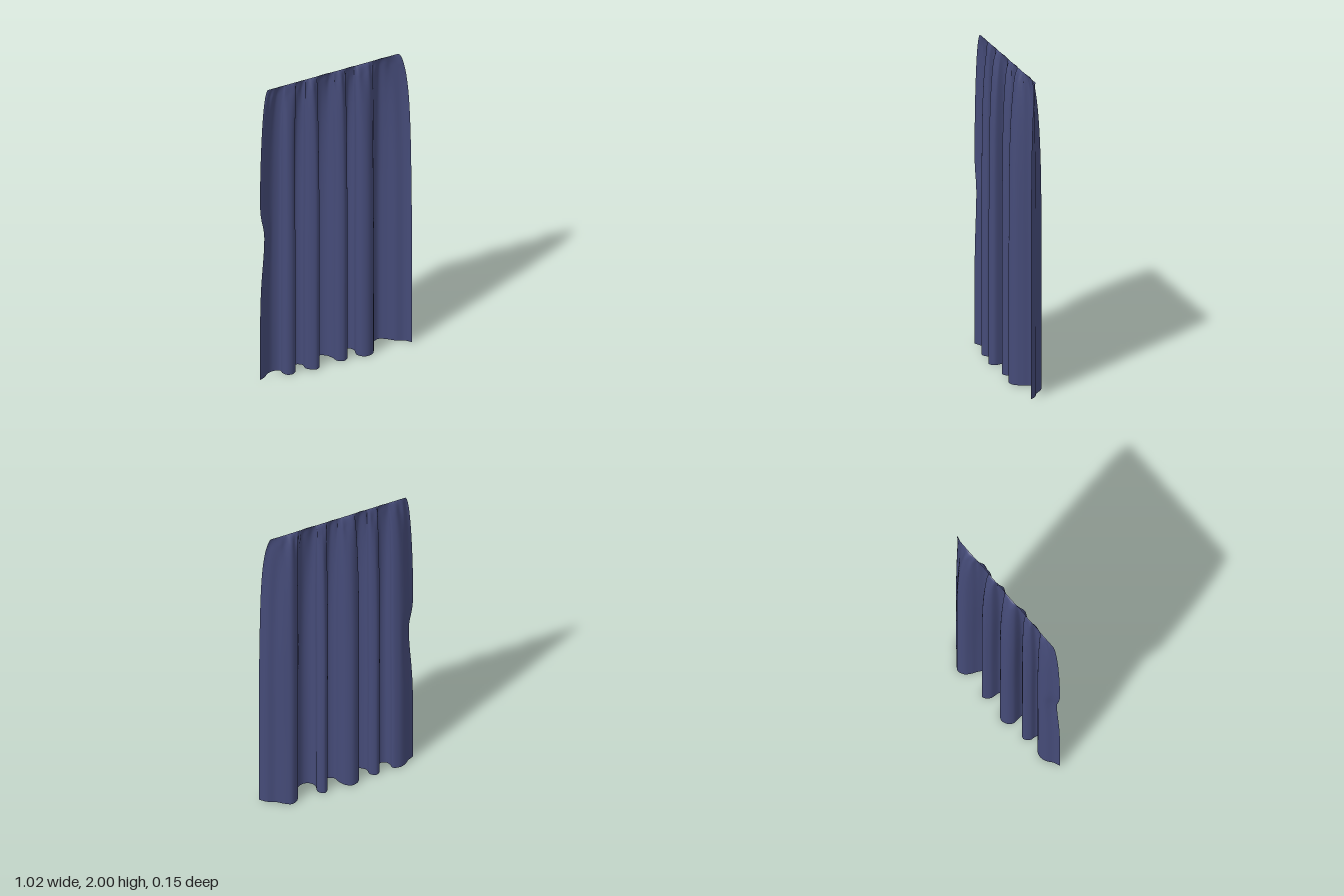
import * as THREE from 'three';

// Plan of the folds at the hem, as [x, z] from one side edge to the other
const HEM = [
  [-0.51, 0.012], [-0.47, -0.005], [-0.43, -0.035], [-0.39, -0.045], [-0.35, -0.03], [-0.35, 0.005],
  [-0.335, 0.035], [-0.305, 0.044], [-0.275, 0.025], [-0.268, -0.02], [-0.235, -0.049], [-0.2, -0.025],
  [-0.2, 0.025], [-0.15, 0.064], [-0.118, 0.04], [-0.122, -0.03], [-0.1, -0.062], [-0.06, -0.075],
  [-0.02, -0.052], [0.0, -0.01], [0.008, 0.033], [0.045, 0.055], [0.08, 0.03], [0.09, -0.035],
  [0.127, -0.068], [0.157, -0.035], [0.145, 0.025], [0.165, 0.06], [0.2, 0.073], [0.24, 0.058],
  [0.268, 0.015], [0.285, -0.025], [0.31, -0.06], [0.35, -0.075], [0.39, -0.05], [0.43, -0.01],
  [0.475, 0.015], [0.508, 0.055],
];

const COLS = 300, ROWS = 64;

function drapedCloth() {
  const curve = new THREE.CatmullRomCurve3(HEM.map(([x, z]) => new THREE.Vector3(x, 0, z)));
  curve.arcLengthDivisions = 1000;
  const hem = curve.getSpacedPoints(COLS);
  const geometry = new THREE.PlaneGeometry(1, 1, COLS, ROWS);
  const pos = geometry.attributes.position;

  for (let r = 0; r <= ROWS; r++) {
    const s = Math.pow(r / ROWS, 1.7); // rows sit closer together at the heading
    const y = 2 * (1 - s);
    const open = Math.sqrt(1 - Math.pow(1 - s, 6)); // folds open quickly below the straight top
    const gather = Math.min(1, s / 0.03) * Math.exp(-s / 0.07);

    for (let c = 0; c <= COLS; c++) {
      const u = c / COLS, p = hem[c];
      // The top edge is a straight, evenly gathered line
      const xTop = 0.6 * (-0.45 + 0.892 * u) + 0.4 * 0.877 * p.x;
      let x = THREE.MathUtils.lerp(xTop, p.x, open);
      let z = p.z * open;
      // Short extra pleats below the heading
      z += 0.008 * gather * Math.sin(u * 118 + 1.5 * Math.sin(u * 23));
      // Soft irregular creases
      x += 0.003 * open * (1 - s) * Math.sin(y * 4 + u * 31);
      // Pinch halfway down one side edge
      const edge = Math.max(0, 1 - (x + 0.51) / 0.12);
      const d = (y - 0.99) / (y > 0.99 ? 0.12 : 0.3);
      x += 0.03 * edge * Math.exp(-d * d);
      pos.setXYZ(r * (COLS + 1) + c, x, y, z);
    }
  }
  geometry.computeVertexNormals();
  return geometry;
}

export function createModel() {
  const group = new THREE.Group();
  group.name = 'curtain';
  const fabric = new THREE.MeshStandardMaterial({ color: 0x454b78, side: THREE.DoubleSide });
  const cloth = new THREE.Mesh(drapedCloth(), fabric);
  cloth.name = 'curtainCloth';
  group.add(cloth);
  return group;
}
